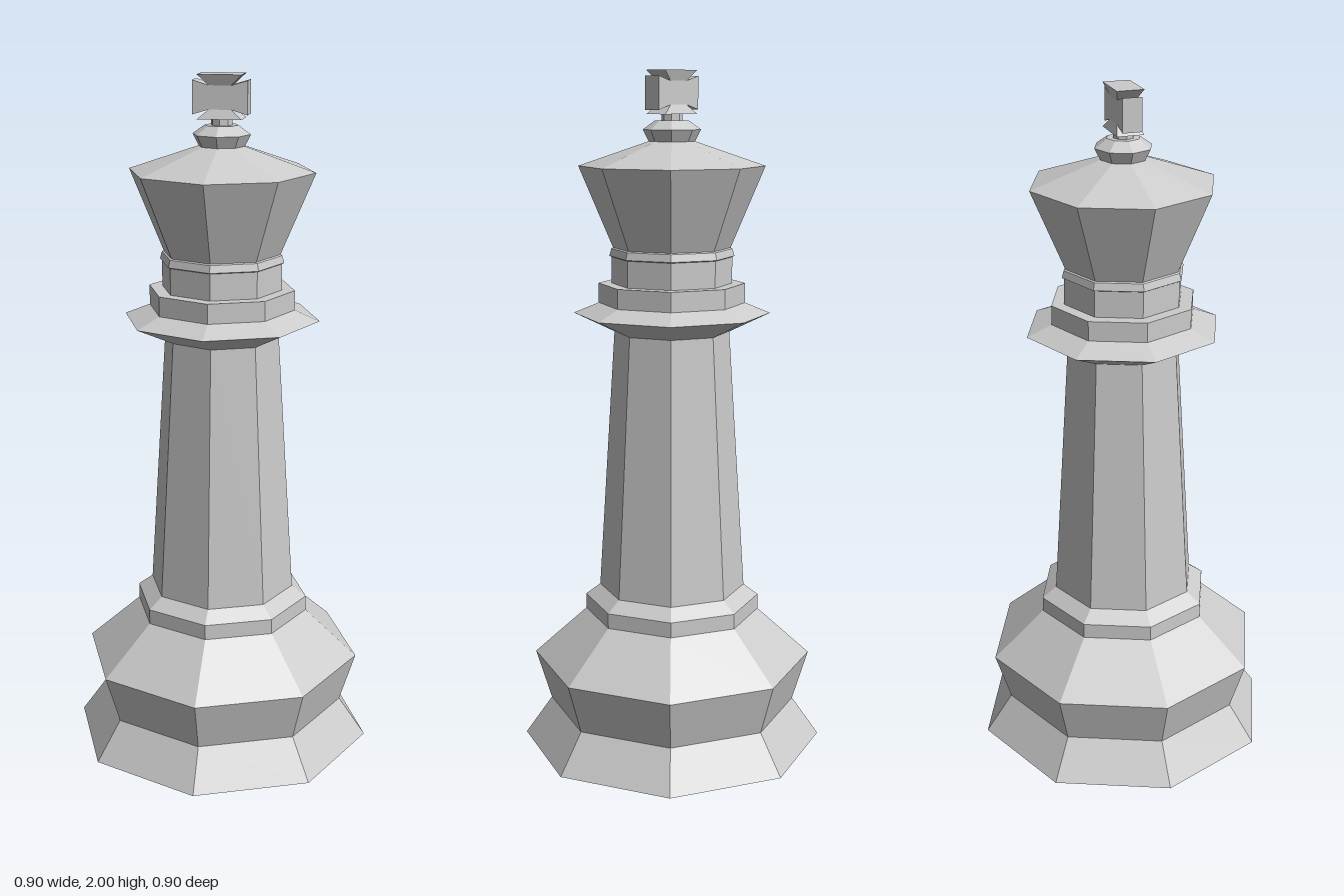
import * as THREE from 'three';

const SIDES = 8;

export function createModel() {
  const group = new THREE.Group();
  const material = new THREE.MeshStandardMaterial({ color: 0xcccccc, flatShading: true });

  function add(name, geometry) {
    const mesh = new THREE.Mesh(geometry, material);
    mesh.name = name;
    group.add(mesh);
  }

  // Eight-sided turned part from [radius, height] pairs, bottom to top
  function turned(name, profile) {
    add(name, new THREE.LatheGeometry(profile.map(([r, y]) => new THREE.Vector2(r, y)), SIDES));
  }

  turned('base', [[0, 0], [0.45, 0], [0.37, 0.115], [0.416, 0.265], [0.26, 0.405]]);
  turned('baseRing', [[0.26, 0.405], [0.26, 0.45], [0.217, 0.482]]);
  turned('shaft', [[0.217, 0.482], [0.168, 1.255]]);
  turned('collar', [[0.168, 1.255], [0.286, 1.31], [0.213, 1.34], [0.213, 1.397], [0.175, 1.397]]);
  turned('neck', [[0.175, 1.397], [0.175, 1.473], [0.181, 1.476], [0.175, 1.497], [0.17, 1.5]]);
  turned('crown', [[0.17, 1.5], [0.268, 1.733], [0.066, 1.802]]);
  turned('finial', [[0.066, 1.802], [0.083, 1.835], [0.048, 1.86], [0.03, 1.86], [0.03, 1.885]]);

  // Flared cross: right half of the outline, mirrored to the left
  const half = [[0.063, 0.06], [0.032, 0.03], [0.078, 0.044], [0.078, -0.05], [0.032, -0.036], [0.063, -0.062]];
  const outline = [...half, ...half.map(([x, y]) => [-x, y]).reverse()];
  const shape = new THREE.Shape(outline.map(([x, y]) => new THREE.Vector2(x, y)));
  const cross = new THREE.ExtrudeGeometry(shape, { depth: 0.056, bevelEnabled: false });
  cross.translate(0, 0, -0.028);
  // Thicken the top and bottom ends
  const pos = cross.attributes.position;
  for (let i = 0; i < pos.count; i++) {
    if (Math.abs(pos.getY(i)) > 0.055) pos.setZ(i, pos.getZ(i) * 1.38);
  }
  cross.translate(0, 1.94, 0);
  cross.computeVertexNormals();
  add('cross', cross);

  return group;
}
